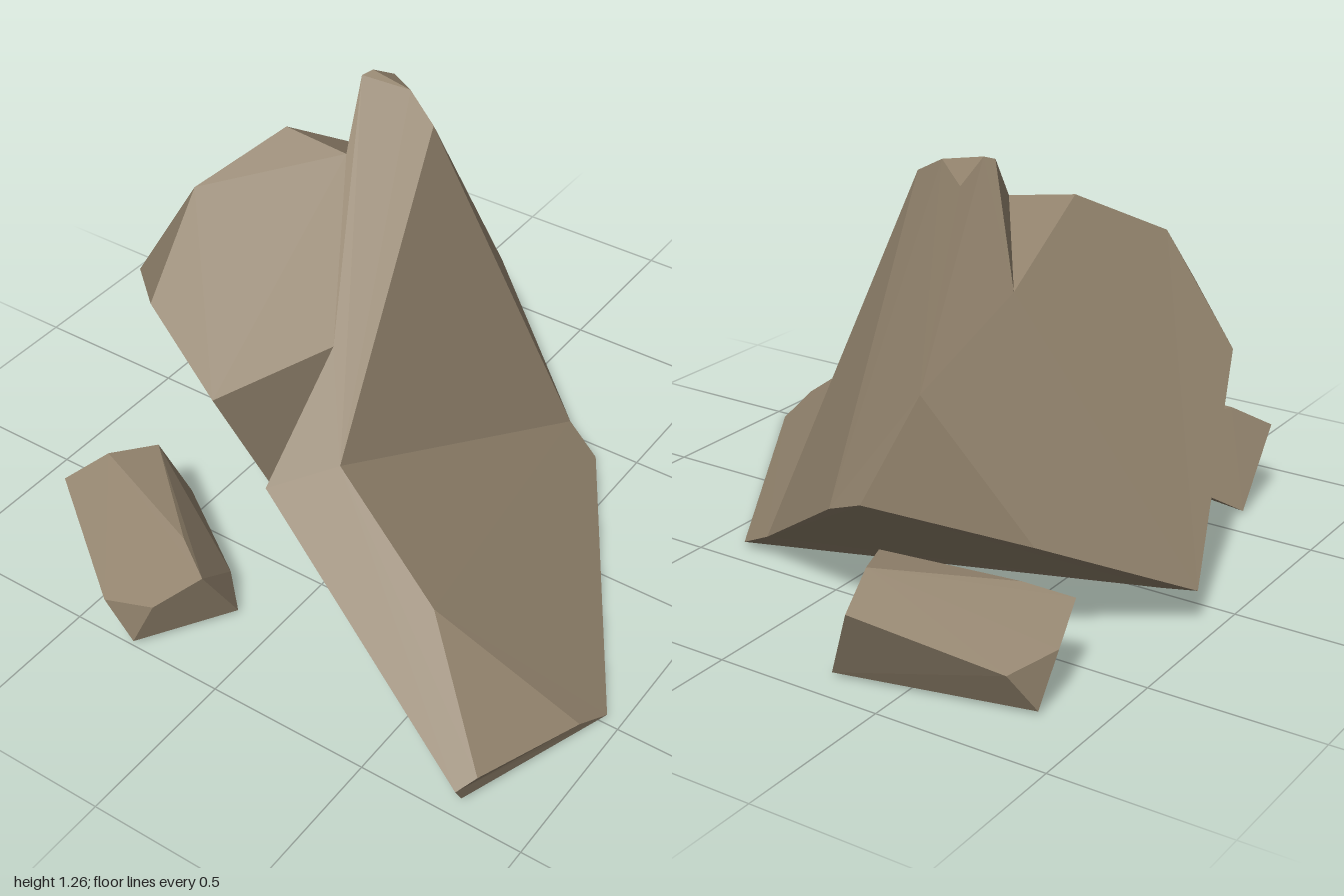
import * as THREE from 'three';
import { ConvexGeometry } from 'three/addons/geometries/ConvexGeometry.js';

const V = (p) => new THREE.Vector3(...p);
const BASE = 0.011; // height of the stones' open undersides

function flatGeometry(positions) {
  const g = new THREE.BufferGeometry();
  g.setAttribute('position', new THREE.Float32BufferAttribute(positions, 3));
  g.computeVertexNormals();
  return g;
}

// Flat-shaded shell from corner points and planar (possibly concave) polygons
function polyhedron(points, faces) {
  const pos = [];
  for (const face of faces) {
    const pts = face.map((i) => V(points[i]));
    // average face normal, then a flat basis for triangulation
    const n = new THREE.Vector3();
    pts.forEach((p, i) => n.add(p.clone().cross(pts[(i + 1) % pts.length])));
    n.normalize();
    const u = pts[1].clone().sub(pts[0]).projectOnPlane(n).normalize();
    const v = n.clone().cross(u);
    const flat = pts.map((p) => new THREE.Vector2(p.dot(u), p.dot(v)));
    for (const [i, j, k] of THREE.ShapeUtils.triangulateShape(flat, [])) {
      const e1 = flat[j].clone().sub(flat[i]);
      const e2 = flat[k].clone().sub(flat[i]);
      const order = e1.cross(e2) > 0 ? [i, j, k] : [i, k, j];
      for (const c of order) pos.push(...pts[c].toArray());
    }
  }
  return flatGeometry(pos);
}

// Convex shell without the triangles lying on the ground
function openHull(points) {
  const hull = new ConvexGeometry(points.map(V)).getAttribute('position').array;
  const pos = [];
  for (let i = 0; i < hull.length; i += 9) {
    const top = Math.max(hull[i + 1], hull[i + 4], hull[i + 7]);
    if (top > BASE + 0.001) pos.push(...hull.slice(i, i + 9));
  }
  return flatGeometry(pos);
}

// Large boulder corners
const boulderPoints = [
  [-0.093, 1.178, -0.222], [0.123, 0.56, 0.555], [-0.033, 0.5, 0.69], // 0-2 main ridge
  [-0.05, 0.76, 0.34], [-0.29, 0.625, 0.59],                         // 3-4 front cleft
  [-0.59, 0.772, 0.483], [-0.64, 0.997, 0.2],                        // 5-6 shoulder
  [-0.487, 1.13, -0.045], [-0.285, 1.1, -0.06], [-0.355, 1.25, -0.24], // 7-9 top chip
  [-0.337, 1.26, -0.27], [-0.205, 1.235, -0.27], [-0.33, 1.2, -0.37], // 10-12 peak
  [-0.48, 0.93, -0.34],                                              // 13 chip bottom
  [-0.43, 0.745, -0.7], [-0.3, 0.44, -0.785], [-0.165, 0.38, -0.74], // 14-16 back
  [-0.685, 0.33, -0.55], [-0.953, 0.115, -0.14], [-0.83, 0.667, 0.26], // 17-19 side
  [-0.775, 0.022, -0.01], [-0.21, 0.02, 0.34],                       // 20-21 foot, cleft bottom
  [0.27, 0.083, -0.47], [0.39, 0.02, -0.43],                         // 22-23 back foot
  [0.95, 0, 0.47], [0.93, 0.06, 0.59], [0.83, 0.12, 0.945],          // 24-26 low end
  [0.795, 0.09, 0.995], [0.785, 0.015, 0.95], [0.53, 0.36, 0.7],     // 27-29 low end, spur
];

// The underside is left open
const boulderFaces = [
  [0, 11, 10, 9, 8, 7, 6, 5, 4, 3, 2, 1],   // sloping top
  [11, 12, 10],                             // peak facet
  [6, 7, 13, 9, 10, 12, 14, 17, 18, 19],    // broad side
  [7, 8, 13], [8, 9, 13],                   // top chip walls
  [11, 0, 16, 15, 14, 12], [16, 0, 22],     // back
  [0, 1, 22], [22, 1, 29, 25, 24, 23],      // steep wall and low slope
  [25, 29, 26], [1, 2, 27, 26, 29],         // spur
  [27, 28, 24, 25, 26],                     // low end
  [4, 5, 19, 18, 20, 21], [5, 6, 19],       // front overhang
  [27, 2, 21, 28],                          // front of the spur
  [4, 21, 3], [2, 3, 21],                   // front cleft walls
  [14, 15, 17],                             // back corner
  [15, 16, 22, 23, 20, 18, 17],             // sloping back underside
];

// Small stone corners, measured from below its highest point
const stonePoints = [
  [0, 0.32, 0], [-0.09, 0.25, 0.1], [0.25, 0.13, 0.33], [0.405, 0.16, 0.3],
  [0.5, 0.235, 0.19], [0.38, 0.27, 0.12], [0.08, 0.3, -0.13],   // upper corners
  [0.44, 0.08, 0], [0.055, 0.11, -0.185], [0.16, 0.13, -0.17],  // back corners
  [-0.08, BASE, -0.05], [0.34, BASE, 0.325], [0.51, BASE, 0.06], // feet
];

export function createModel() {
  const group = new THREE.Group();
  group.name = 'rocks';
  const rock = new THREE.MeshStandardMaterial({ color: 0x91826c, side: THREE.DoubleSide });
  rock.name = 'brown rock';

  const boulder = new THREE.Mesh(polyhedron(boulderPoints, boulderFaces), rock);
  boulder.name = 'boulder';
  group.add(boulder);

  // The same stone lies in front and, turned, behind
  const stoneGeometry = openHull(stonePoints);
  const stones = [
    ['frontStone', -0.64, 0.67, 0],
    ['backStone', -0.38, -0.87, -125],
  ];
  for (const [name, x, z, turn] of stones) {
    const stone = new THREE.Mesh(stoneGeometry, rock);
    stone.name = name;
    stone.position.set(x, 0, z);
    stone.rotation.y = THREE.MathUtils.degToRad(turn);
    group.add(stone);
  }
  return group;
}
